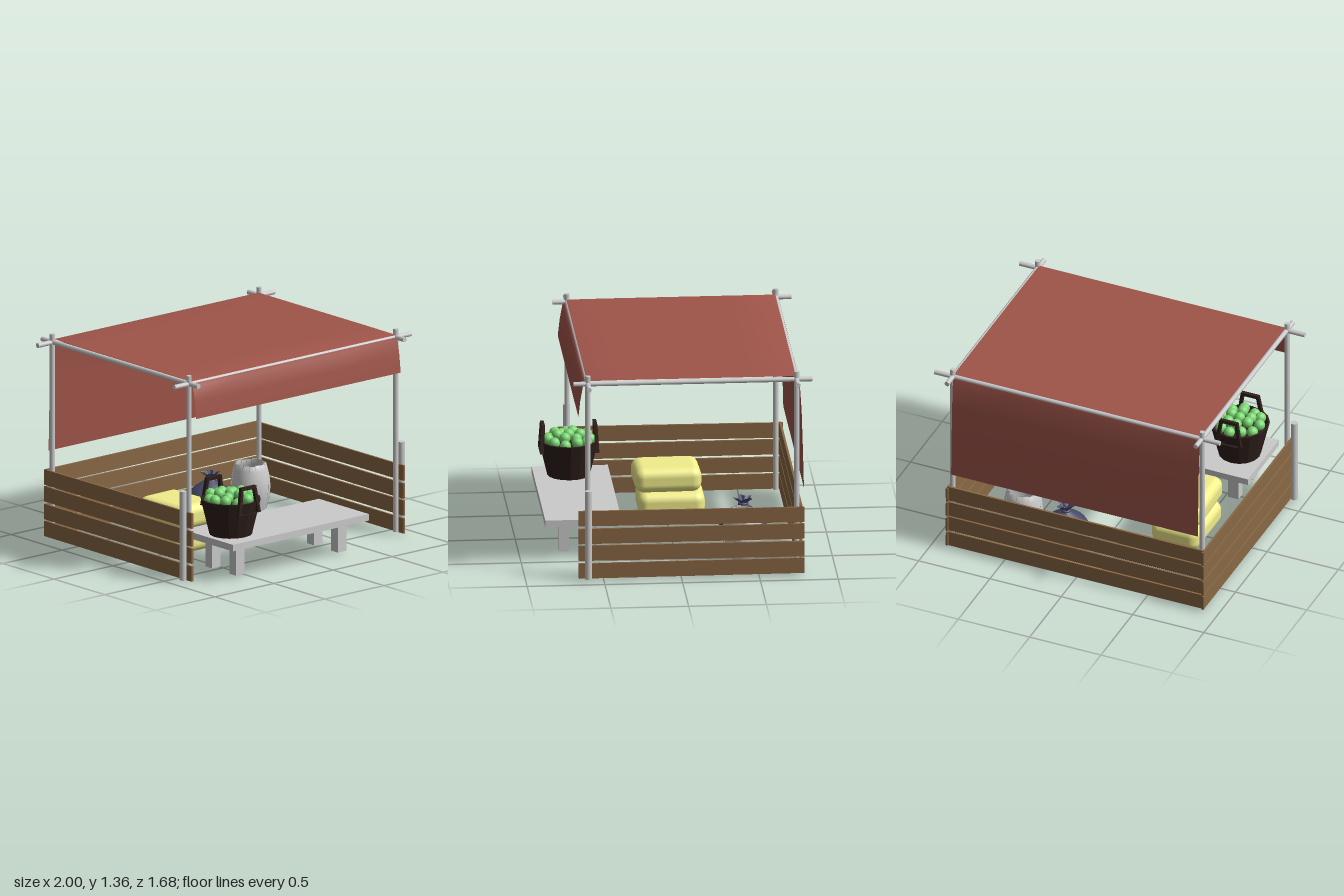
import * as THREE from 'three';
import { RoundedBoxGeometry } from 'three/addons/geometries/RoundedBoxGeometry.js';

const mat = (color, opts = {}) => new THREE.MeshStandardMaterial({ color, ...opts });
const grey = mat(0xcccccc);
const greyOpen = mat(0xcccccc, { side: THREE.DoubleSide });
const wood = mat(0x8a6845);
const red = mat(0xa0554a, { side: THREE.DoubleSide });
const dark = mat(0x2e1f1b, { flatShading: true, side: THREE.DoubleSide });
const yellow = mat(0xf2ee8c);
const green = mat(0x7ad672);
const blue = mat(0x474a66);

const v2 = (pts) => pts.map(([x, y]) => new THREE.Vector2(x, y));

function add(parent, name, geometry, material, x = 0, y = 0, z = 0) {
  const mesh = new THREE.Mesh(geometry, material);
  mesh.name = name;
  mesh.position.set(x, y, z);
  parent.add(mesh);
  return mesh;
}

function group(parent, name, x = 0, y = 0, z = 0) {
  const g = new THREE.Group();
  g.name = name;
  g.position.set(x, y, z);
  parent.add(g);
  return g;
}

// Round poles lashed into an open frame, plus short posts that hold the fence
function buildFrame(root) {
  const frame = group(root, 'frame');
  const rod = (r, len) => new THREE.CylinderGeometry(r, r, len, 12);
  for (const z of [0.6, -0.742]) {
    add(frame, 'crossPole', rod(0.016, 2), grey, 0, 1.312, z).rotation.z = Math.PI / 2;
    for (const x of [-0.875, 0.875]) add(frame, 'uprightPole', rod(0.017, 1.348), grey, x, 0.694, z);
  }
  for (const s of [-1, 1]) {
    add(frame, 'sidePole', rod(0.016, 1.535), grey, s * 0.872, 1.314, -0.075).rotation.x = Math.PI / 2;
    add(frame, 'fencePost', rod(0.023, 0.59), grey, s * 0.925, 0.315, 0.6);
  }
}

// Cloth sheet draped over both cross poles, with a long drop at the back
function buildCanopy(root) {
  const profile = [
    [0.66, 1.09], [0.648, 1.2], [0.63, 1.3], [0.6, 1.331], [0.35, 1.333], [0, 1.333],
    [-0.45, 1.333], [-0.735, 1.333], [-0.762, 1.3], [-0.775, 1.1], [-0.783, 0.85], [-0.79, 0.58],
  ];
  const geo = new THREE.PlaneGeometry(1.73, 1, 4, profile.length - 1);
  const pos = geo.attributes.position;
  for (let i = 0; i < pos.count; i++) {
    const [z, y] = profile[profile.length - 1 - Math.floor(i / 5)];
    pos.setXYZ(i, pos.getX(i), y, z);
  }
  geo.computeVertexNormals();
  add(root, 'canopy', geo, red);
}

// Four slightly uneven boards on each side and at the back
function buildFence(root) {
  const fence = group(root, 'fence');
  const tilt = [0.003, -0.002, 0.002, -0.004];
  for (let i = 0; i < 4; i++) {
    const y = 0.068 + i * 0.1155;
    for (const s of [-1, 1]) {
      add(fence, 'sideBoard', new THREE.BoxGeometry(0.014, 0.101, 1.45), wood, s * 0.896, y, -0.065)
        .rotation.x = tilt[i];
    }
    add(fence, 'backBoard', new THREE.BoxGeometry(1.8, 0.104, 0.014), wood, 0, y + 0.002, -0.772)
      .rotation.z = -tilt[i] * 0.4;
  }
}

function buildBench(root) {
  const bench = group(root, 'bench', -0.135, 0, 0.595);
  add(bench, 'benchTop', new THREE.BoxGeometry(1.15, 0.044, 0.49), grey, 0, 0.242, 0);
  for (const x of [-0.43, 0.43]) {
    for (const z of [-0.118, 0.118]) {
      add(bench, 'benchLeg', new THREE.BoxGeometry(0.072, 0.205, 0.066), grey, x, 0.1225, z);
    }
  }
}

// Tapered basket with two trapezoid handles, heaped with fruit
function buildBasket(root) {
  const basket = group(root, 'basket', -0.535, 0.264, 0.615);
  const wall = v2([[0, 0], [0.138, 0], [0.194, 0.235], [0.179, 0.235], [0.165, 0.18], [0, 0.18]]);
  add(basket, 'basketBody', new THREE.LatheGeometry(wall, 16), dark);

  const outline = new THREE.Shape(v2([[-0.093, -0.05], [-0.062, 0.13], [0.062, 0.13], [0.093, -0.05]]));
  outline.holes.push(new THREE.Path(v2([[-0.07, -0.049], [0.07, -0.049], [0.045, 0.109], [-0.045, 0.109]])));
  const arch = new THREE.ExtrudeGeometry(outline, { depth: 0.024, bevelEnabled: false });
  arch.translate(0, 0, -0.012);
  for (const s of [-1, 1]) {
    add(basket, 'handle', arch, dark, 0, 0.215, s * 0.176).rotation.x = -s * 0.06;
  }

  const ball = new THREE.SphereGeometry(0.036, 14, 10);
  const rings = [[1, 0, 0.268], [6, 0.075, 0.262], [11, 0.137, 0.24]];
  rings.forEach(([count, radius, y], k) => {
    for (let i = 0; i < count; i++) {
      const a = (i / count) * Math.PI * 2 + k * 0.4;
      add(basket, 'fruit', ball, green, Math.cos(a) * radius, y + 0.01 * Math.sin(i * 2.3), Math.sin(a) * radius);
    }
  });
}

// Two soft bales, one on the other
function buildBales(root) {
  const bale = new RoundedBoxGeometry(0.335, 0.163, 0.43, 5, 0.06);
  add(root, 'lowerBale', bale, yellow, -0.448, 0.11, -0.03);
  add(root, 'upperBale', bale, yellow, -0.448, 0.275, -0.005).rotation.y = 0.03;
}

// Tied sack with a flared, ruffled mouth
function buildSack(root) {
  const sack = group(root, 'sack', 0.21, 0, -0.45);
  const profile = new THREE.SplineCurve(v2([
    [0.001, 0.004], [0.075, 0.008], [0.135, 0.055], [0.157, 0.12], [0.135, 0.185],
    [0.08, 0.235], [0.03, 0.268], [0.022, 0.285], [0.045, 0.31], [0.052, 0.316],
  ])).getPoints(30);
  const geo = new THREE.LatheGeometry(profile, 30);
  const pos = geo.attributes.position;
  for (let i = 0; i < pos.count; i++) {
    const y = pos.getY(i);
    const a = Math.atan2(pos.getZ(i), pos.getX(i));
    const k = 1 + Math.sin(a * 5) * (y > 0.27 ? 0.3 : 0.012);
    pos.setXYZ(i, pos.getX(i) * k, y, pos.getZ(i) * k);
  }
  geo.computeVertexNormals();
  const body = add(sack, 'sackBody', geo, blue.clone());
  body.material.side = THREE.DoubleSide;
  add(sack, 'sackTie', new THREE.TorusGeometry(0.026, 0.009, 8, 16), blue, 0, 0.277, 0).rotation.x = Math.PI / 2;
}

// Open barrel of separate bulging staves
function buildBarrel(root) {
  const barrel = group(root, 'barrel', 0.525, 0.025, -0.42);
  const staves = 16;
  const step = (Math.PI * 2) / staves;
  for (let i = 0; i < staves; i++) {
    const bottom = 0.004 * (1 + Math.sin(i * 2.1));
    const top = 0.304 + 0.005 * Math.sin(i * 1.7);
    const outer = [], inner = [];
    for (let j = 0; j <= 8; j++) {
      const t = j / 8;
      const r = 0.101 + 0.027 * Math.sin(Math.PI * t);
      const y = bottom + (top - bottom) * t;
      outer.push([r, y]);
      inner.unshift([r - 0.014, y]);
    }
    const loop = v2([...outer, ...inner, outer[0]]);
    add(barrel, 'stave', new THREE.LatheGeometry(loop, 2, i * step, step * 0.92), greyOpen);
  }
  add(barrel, 'barrelFloor', new THREE.CylinderGeometry(0.098, 0.098, 0.012, 24), grey, 0, 0.035, 0);
}

export function createModel() {
  const root = new THREE.Group();
  root.name = 'marketStall';
  const parts = [buildFrame, buildCanopy, buildFence, buildBench, buildBasket, buildBales, buildSack, buildBarrel];
  for (const build of parts) build(root);
  return root;
}
